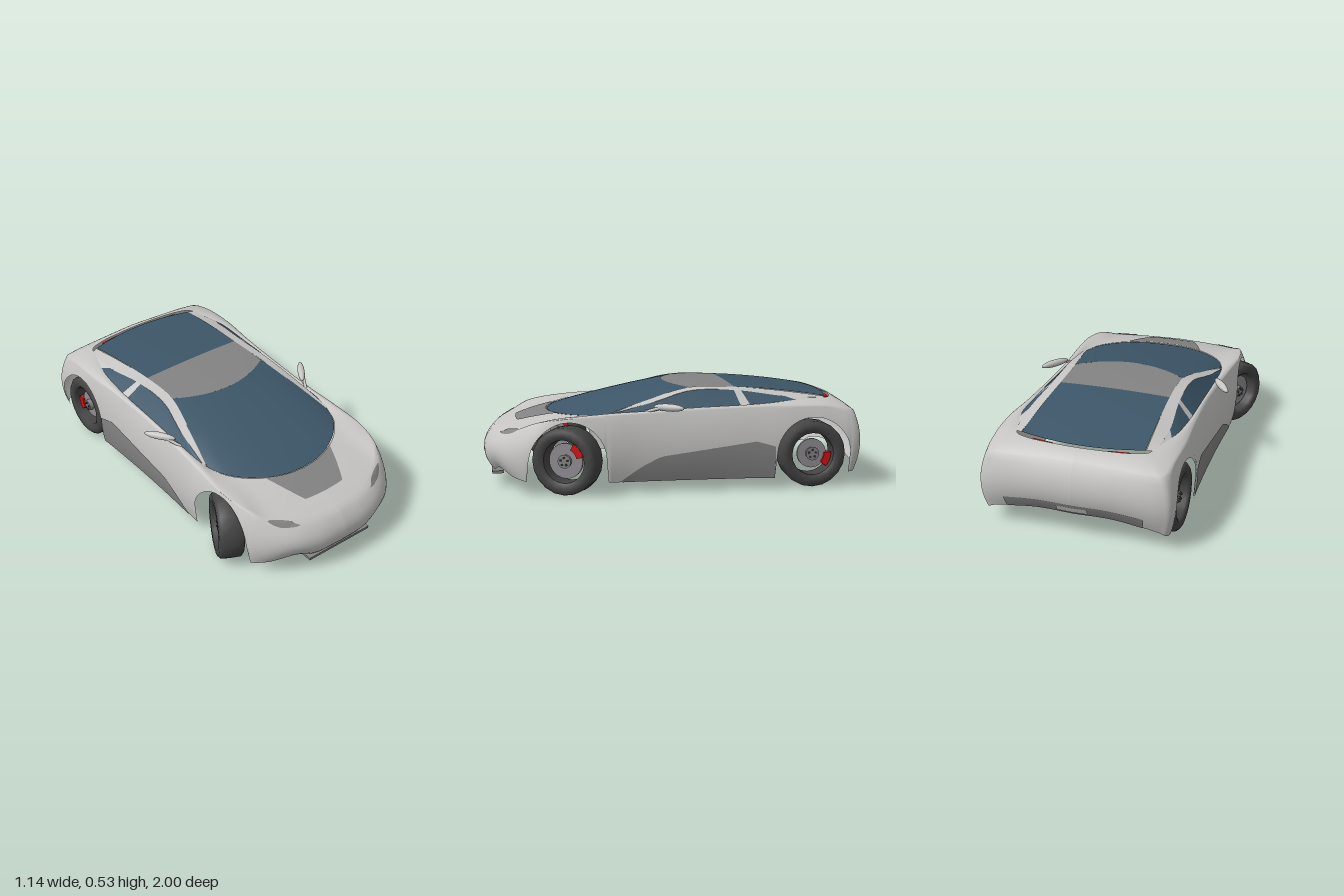
import * as THREE from 'three';

const paint = (name, color) => {
  const m = new THREE.MeshStandardMaterial({ color, side: THREE.DoubleSide });
  m.name = name;
  return m;
};
const V = (x, y, z) => new THREE.Vector3(x, y, z);
const curve = (pts) => new THREE.CatmullRomCurve3(pts.map((p) => V(...p)));
const LAST = 15; // key stations run 0 (nose centre) to 15 (tail centre)

// Half outlines around the body, nose to tail: bottom edge, widest line, shoulder, glass opening
const bottom = curve([[0, .085, .955], [.15, .085, .945], [.26, .115, .92], [.39, .085, .85], [.46, .07, .77], [.48, .07, .6],
  [.475, .06, .4], [.47, .06, .2], [.47, .06, -.1], [.48, .06, -.4], [.49, .06, -.6], [.48, .08, -.8],
  [.47, .08, -.93], [.43, .1, -.945], [.2, .14, -.955], [0, .14, -.96]]);
const waist = curve([[0, 0, 1], [.15, 0, .99], [.28, 0, .95], [.4, 0, .87], [.475, 0, .76], [.5, 0, .6],
  [.5, 0, .4], [.487, 0, .2], [.487, 0, -.1], [.492, 0, -.4], [.505, 0, -.6], [.508, 0, -.8],
  [.495, 0, -.95], [.45, 0, -.975], [.2, 0, -.995], [0, 0, -1]]);
const shoulder = curve([[0, .3, .94], [.14, .3, .93], [.25, .31, .895], [.36, .33, .83], [.43, .37, .74], [.465, .393, .59],
  [.465, .403, .4], [.455, .408, .2], [.45, .42, -.1], [.46, .43, -.4], [.475, .435, -.6], [.47, .43, -.8],
  [.455, .4, -.93], [.4, .4, -.945], [.2, .41, -.95], [0, .42, -.95]]);
const opening = curve([[0, .378, .66], [.1, .38, .65], [.2, .385, .615], [.3, .39, .55], [.37, .395, .47], [.405, .4, .38],
  [.42, .41, .3], [.424, .415, .2], [.427, .43, -.1], [.425, .44, -.4], [.41, .455, -.6], [.365, .46, -.75],
  [.34, .46, -.82], [.27, .46, -.85], [.12, .46, -.868], [0, .46, -.873]]);
// Roof rail edges beside the glass
const railInner = curve([[.407, .4, .37], [.352, .468, .15], [.303, .523, -.08], [.3, .52, -.32], [.313, .492, -.6], [.325, .462, -.81]]);
const railOuter = curve([[.418, .405, .36], [.39, .462, .12], [.354, .512, -.08], [.354, .508, -.32], [.378, .474, -.58], [.365, .46, -.79]]);

const WHEEL_Y = .177, FRONT_Z = .58, REAR_Z = -.71, ARCH = .198;
const archHeight = (z) => {
  const d = Math.min(Math.abs(z - FRONT_Z), Math.abs(z - REAR_Z));
  return d < ARCH ? WHEEL_Y + Math.sqrt(ARCH * ARCH - d * d) : 0;
};
const bend = (a, c, b, t) => a.clone().multiplyScalar((1 - t) ** 2).addScaledVector(c, 2 * t * (1 - t)).addScaledVector(b, t * t);

// Body point: u runs around the car, v 0..1 climbs the wall, v 1..2 crosses the deck to the glass
function bodyPoint(u, v, lift = 0) {
  const side = u < 0 || u > LAST ? -1 : 1;
  const t = (u > LAST ? 2 * LAST - u : Math.abs(u)) / LAST;
  const b = bottom.getPoint(t), m = waist.getPoint(t), s = shoulder.getPoint(t), g = opening.getPoint(t);
  let p;
  if (v <= 1) {
    const y = THREE.MathUtils.lerp(Math.max(b.y, archHeight(m.z)), s.y, v);
    const c = m.multiplyScalar(2).addScaledVector(b, -.5).addScaledVector(s, -.5);
    p = bend(b, c, s, (y - b.y) / (s.y - b.y));
    p.y = y;
    p.addScaledVector(V(p.x, 0, Math.abs(p.z) > .9 ? p.z : 0).normalize(), lift);
  } else {
    const c = s.clone().lerp(g, .5);
    c.y += .014;
    p = bend(s, c, g, v - 1);
    p.y += lift;
  }
  p.x *= side;
  return p;
}

// Smooth surface from a rule over the unit square
function surface(name, material, rule, nu, nv) {
  const pos = [], index = [];
  for (let i = 0; i <= nu; i++) for (let j = 0; j <= nv; j++) {
    pos.push(...rule(i / nu, j / nv).toArray());
    if (i < nu && j < nv) {
      const a = i * (nv + 1) + j, b = a + nv + 1;
      index.push(a, b, a + 1, b, b + 1, a + 1);
    }
  }
  const geo = new THREE.BufferGeometry();
  geo.setAttribute('position', new THREE.Float32BufferAttribute(pos, 3));
  geo.setIndex(index);
  geo.computeVertexNormals();
  const mesh = new THREE.Mesh(geo, material);
  mesh.name = name;
  return mesh;
}

function solid(name, geo, material, x = 0, y = 0, z = 0) {
  const mesh = new THREE.Mesh(geo, material);
  mesh.name = name;
  mesh.position.set(x, y, z);
  return mesh;
}

export function createModel() {
  const car = new THREE.Group();
  car.name = 'sportsCar';
  const silver = paint('silver paint', 0xc6c5c4), trim = paint('grey trim', 0x838383), glass = paint('tinted glass', 0x3d5668);
  const rubber = paint('tyre rubber', 0x444444), metal = paint('wheel metal', 0x8f8d92), red = paint('red', 0xd01212);
  const mix = THREE.MathUtils.lerp;

  // Body shell, open below
  car.add(surface('bodyShell', silver, (a, b) => bodyPoint(mix(-LAST, LAST, a), b * 2), 420, 20));

  // Hood vent, tapering toward the nose
  car.add(surface('hoodInsert', trim, (a, b) => bodyPoint(mix(-1, 1, a) * mix(1, 2.2, b), mix(1.4, 2, b), .005), 20, 6));
  // Rear lower panel, plate and front splitter
  car.add(surface('rearLowerPanel', trim, (a, b) => bodyPoint(mix(13.4, 16.6, a), b * .22, .005), 20, 4));
  car.add(surface('rearPlate', silver, (a, b) => bodyPoint(mix(14.6, 15.4, a), mix(.05, .17, b), .01), 6, 2));
  car.add(solid('frontSplitter', new THREE.BoxGeometry(.4, .014, .06), trim, 0, .077, .93));

  // Windshield, roof and rear window
  const roofFront = (s) => V(.302 * s, .528 - .006 * s * s, .02 - .1 * s * s);
  const roofBack = (s) => V(.3 * s, .526 - .006 * s * s, -.32);
  car.add(surface('windshield', glass, (a, b) => {
    const s = mix(-1, 1, a), low = opening.getPoint(Math.abs(s) * 5.1 / LAST);
    low.x *= Math.sign(s);
    low.z -= .008 * (1 - s * s);
    const p = low.lerp(roofFront(s), b);
    p.y += .03 * b * (1 - b);
    return p;
  }, 32, 10));
  car.add(surface('roof', trim, (a, b) => {
    const s = mix(-1, 1, a), p = roofFront(s).lerp(roofBack(s), b);
    p.y += .01 * b * (1 - b);
    return p;
  }, 16, 6));
  car.add(surface('rearWindow', glass, (a, b) => {
    const s = mix(-1, 1, a);
    const p = roofBack(s).lerp(V(.322 * s, .464, -.858 + .05 * s * s), b);
    p.y += .03 * b * (1 - b);
    return p;
  }, 16, 10));

  // Parts repeated on both sides
  for (const k of [1, -1]) {
    const label = k > 0 ? 'left' : 'right';
    const flip = (p) => { p.x *= k; return p; };
    car.add(surface(label + 'RoofRail', silver, (a, b) => flip(railInner.getPoint(a).lerp(railOuter.getPoint(a), b)), 40, 3));
    const sideGlass = [
      ['FrontSideWindow', glass, 0, .59, 5.15, 8.75],
      ['CentrePillar', silver, .59, .62, 8.75, 8.93],
      ['RearSideWindow', glass, .62, .8, 8.93, 10.2],
      ['RearQuarter', silver, .8, 1, 10.2, 12],
    ];
    for (const [name, material, t0, t1, u0, u1] of sideGlass) {
      car.add(surface(label + name, material, (a, b) =>
        flip(railOuter.getPoint(mix(t0, t1, a)).lerp(opening.getPoint(mix(u0, u1, a) / LAST), b)), 14, 4));
    }

    // Rising side scoop behind the front wheel
    const scoopTop = (u) => u < 7.35 ? mix(.03, .37, (u - 6.5) / .85)
      : u < 9 ? mix(.37, .53, (u - 7.35) / 1.65) : mix(.53, .45, (u - 9) / .5);
    car.add(surface(label + 'SideScoop', trim, (a, b) => {
      const u = mix(6.5, 9.5, a);
      return flip(bodyPoint(u, scoopTop(u) * b, .005));
    }, 30, 5));

    // Slim headlight
    car.add(surface(label + 'Headlight', trim, (a, b) => {
      const p = bodyPoint(mix(1.8, 3.1, a), mix(.96, 1, a) + (b - .5) * .12 * Math.sin(Math.PI * a), .005);
      return flip(p);
    }, 12, 4));
    // Tail light tucked below the rear glass
    const tail = solid(label + 'TailLight', new THREE.BoxGeometry(.11, .016, .025), red, k * .2, .442, -.848);
    tail.rotation.y = -k * .12;
    car.add(tail);

    // Door mirror on a stalk
    const shell = new THREE.SphereGeometry(1, 16, 10).scale(.02, .02, .088).rotateY(-.62);
    car.add(solid(label + 'Mirror', shell, silver, k * .483, .443, .06));
    car.children.at(-1).rotation.y = k > 0 ? 0 : 1.24;
    const stalk = new THREE.TubeGeometry(new THREE.LineCurve3(V(k * .425, .415, .17), V(k * .465, .44, .1)), 1, .009, 6);
    car.add(solid(label + 'MirrorStalk', stalk, silver));

    // Wheels; the front pair is steered
    for (const front of [true, false]) {
      const wheel = new THREE.Group();
      wheel.name = label + (front ? 'FrontWheel' : 'RearWheel');
      const w = .065;
      const profile = [[.112, -w * .8], [.13, -w], [.158, -w], [.175, -w * .75], [.177, 0], [.175, w * .75],
        [.158, w], [.13, w], [.112, w * .8], [.112, -w * .8]].map((p) => new THREE.Vector2(...p));
      wheel.add(solid('tyre', new THREE.LatheGeometry(profile, 20).rotateZ(Math.PI / 2), rubber));
      const disc = front ? .092 : .078;
      wheel.add(solid('brakeDisc', new THREE.CylinderGeometry(disc, disc, .014, 24).rotateZ(Math.PI / 2), metal, k * .015));
      wheel.add(solid('hub', new THREE.CylinderGeometry(.03, .036, .05, 16).rotateZ(Math.PI / 2), trim, k * .02));
      for (let i = 0; i < 5; i++) {
        const a = i * Math.PI * .4;
        wheel.add(solid('lug', new THREE.CylinderGeometry(.006, .006, .012, 6).rotateZ(Math.PI / 2), rubber,
          k * .046, .02 * Math.cos(a), .02 * Math.sin(a)));
      }
      // Brake caliper as a ring sector
      const [a0, a1] = front ? [.25, 1.1] : [-.75, .05];
      const sector = new THREE.Shape();
      sector.absarc(0, 0, .103, a0, a1, false);
      sector.absarc(0, 0, .066, a1, a0, true);
      const caliper = new THREE.ExtrudeGeometry(sector, { depth: .04, bevelEnabled: false, curveSegments: 8 });
      caliper.translate(0, 0, -.02).rotateY(Math.PI / 2);
      wheel.add(solid('brakeCaliper', caliper, red, k * .015));
      wheel.position.set(k * (front ? .44 : .425), WHEEL_Y, front ? FRONT_Z : REAR_Z);
      if (front) wheel.rotation.y = -.47;
      car.add(wheel);
    }
  }
  return car;
}
